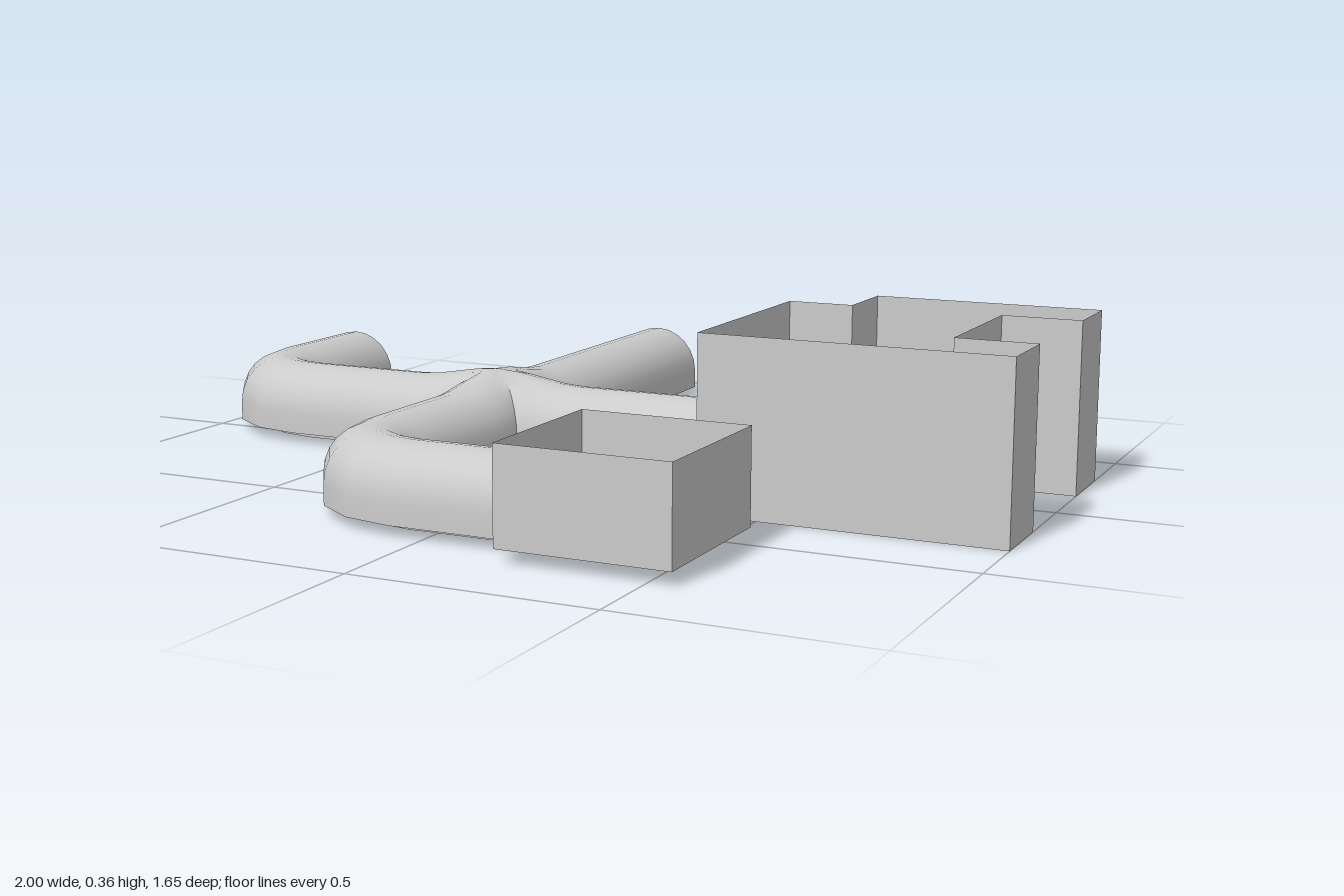
import * as THREE from 'three';
import { mergeGeometries, toCreasedNormals } from 'three/addons/utils/BufferGeometryUtils.js';

const HALF = 0.102, SPRING = 0.065, FLOOR = 0.022, TRENCH = 0.035;
const CENTRE = { x: -0.245, z: 0.007 };
const BEND = 0.175, BEND_STEPS = 4, SWELL_END = 0.2;

// Cross-sections as [sideways, height]
const archProfile = [[-HALF, FLOOR]];
for (let i = 0; i <= 12; i++) {
  const a = Math.PI * (1 - i / 12);
  archProfile.push([i === 6 ? 0 : HALF * Math.cos(a), SPRING + HALF * Math.sin(a)]);
}
archProfile.push([HALF, FLOOR]);

const floorProfile = [
  [-HALF, FLOOR], [-TRENCH, FLOOR], [-TRENCH, 0], [0, 0],
  [TRENCH, 0], [TRENCH, FLOOR], [HALF, FLOOR],
];

// Each arm leaves the crossing, runs straight, then may bend and run on
const arms = [
  { angle: 0, straight: 0.62 },
  { angle: -Math.PI / 2, straight: 0.837 },
  { angle: Math.PI, straight: 0.48, turn: 1, after: 0.267 },
  { angle: Math.PI / 2, straight: 0.463, turn: -1, after: 0.28 },
];

const dir = (a) => [Math.cos(a), Math.sin(a)];
const side = (a) => [-Math.sin(a), Math.cos(a)];

function sweepArm({ angle, straight, turn = 0, after = 0 }, profile) {
  const [dx, dz] = dir(angle), [nx, nz] = side(angle);
  const rows = [];
  const addRow = (x, z, a) => {
    const [sx, sz] = side(a);
    rows.push(profile.map(([u, y]) => [x + sx * u, y, z + sz * u]));
  };

  // Mitred start, with the vault rising gently towards the crossing
  for (let i = 0; i <= 4; i++) {
    rows.push(profile.map(([u, y]) => {
      const s = THREE.MathUtils.lerp(Math.abs(u), SWELL_END, i / 4);
      const k = 1 - THREE.MathUtils.smoothstep(s, 0, SWELL_END);
      const rise = 0.025 * k * Math.max(0, (y - SPRING) / HALF);
      return [CENTRE.x + dx * s + nx * u, y + rise, CENTRE.z + dz * s + nz * u];
    }));
  }
  const px = CENTRE.x + dx * straight, pz = CENTRE.z + dz * straight;
  addRow(px, pz, angle);

  // Quarter bend and the run after it
  if (turn) {
    let x, z, a;
    for (let i = 1; i <= BEND_STEPS; i++) {
      a = angle + turn * (Math.PI / 2) * (i / BEND_STEPS);
      const [sx, sz] = side(a);
      x = px + turn * BEND * (nx - sx);
      z = pz + turn * BEND * (nz - sz);
      addRow(x, z, a);
    }
    const [ex, ez] = dir(a);
    addRow(x + ex * after, z + ez * after, a);
  }

  const n = profile.length, index = [];
  for (let r = 0; r < rows.length - 1; r++) {
    for (let c = 0; c < n - 1; c++) {
      const p = r * n + c;
      index.push(p, p + 1, p + n, p + 1, p + n + 1, p + n);
    }
  }
  const geo = new THREE.BufferGeometry();
  geo.setAttribute('position', new THREE.Float32BufferAttribute(rows.flat(2), 3));
  geo.setIndex(index);
  return geo;
}

function sweepNetwork(profile, crease) {
  return toCreasedNormals(mergeGeometries(arms.map((arm) => sweepArm(arm, profile))), crease);
}

// Arched doorway outline, centred on the given position along a wall
function doorway(centre, base) {
  const path = new THREE.Path();
  path.moveTo(centre - HALF, base);
  path.lineTo(centre + HALF, base);
  path.lineTo(centre + HALF, SPRING);
  path.absarc(centre, SPRING, HALF, 0, Math.PI, false);
  path.closePath();
  return path;
}

// Open-topped room from a plan of [x, z] corners; the last wall holds the doorway
function makeRoom(name, plan, bottom, top, doorZ, material) {
  const room = new THREE.Group();
  room.name = name;

  const floorShape = new THREE.Shape(plan.map(([x, z]) => new THREE.Vector2(x, -z)));
  const floor = new THREE.Mesh(new THREE.ShapeGeometry(floorShape).rotateX(-Math.PI / 2), material);
  floor.position.y = bottom;
  floor.name = 'roomFloor';
  room.add(floor);

  plan.forEach(([x0, z0], i) => {
    const [x1, z1] = plan[(i + 1) % plan.length];
    const length = Math.hypot(x1 - x0, z1 - z0);
    const shape = new THREE.Shape([
      new THREE.Vector2(0, bottom), new THREE.Vector2(length, bottom),
      new THREE.Vector2(length, top), new THREE.Vector2(0, top),
    ]);
    const last = i === plan.length - 1;
    if (last) shape.holes.push(doorway(Math.abs(doorZ - z0), bottom + 0.004));
    const wall = new THREE.Mesh(new THREE.ShapeGeometry(shape), material);
    wall.position.set(x0, 0, z0);
    wall.rotation.y = Math.atan2(-(z1 - z0), x1 - x0);
    wall.name = last ? 'doorWall' : 'roomWall';
    room.add(wall);
  });
  return room;
}

export function createModel() {
  const group = new THREE.Group();
  group.name = 'tunnelNetwork';
  const material = new THREE.MeshStandardMaterial({ color: 0xcccccc, side: THREE.DoubleSide });

  // Vaulted tunnels and their walkways with a sunken channel
  const vault = new THREE.Mesh(sweepNetwork(archProfile, 0.8), material);
  vault.name = 'tunnelVault';
  const channel = new THREE.Mesh(sweepNetwork(floorProfile, 0.5), material);
  channel.name = 'walkwayAndChannel';
  group.add(vault, channel);

  // Plans run counter-clockwise from above and end on the tunnel side
  const largePlan = [
    [0.375, 0.33], [1, 0.33], [1, 0.17], [0.835, 0.17], [0.835, -0.155],
    [1, -0.155], [1, -0.315], [0.515, -0.315], [0.515, -0.155], [0.375, -0.155],
  ];
  const smallPlan = [[0.2, 0.825], [0.55, 0.825], [0.55, 0.475], [0.2, 0.475]];
  group.add(
    makeRoom('largeRoom', largePlan, 0, 0.36, CENTRE.z, material),
    makeRoom('smallRoom', smallPlan, 0.027, 0.22, 0.645, material),
  );
  return group;
}
